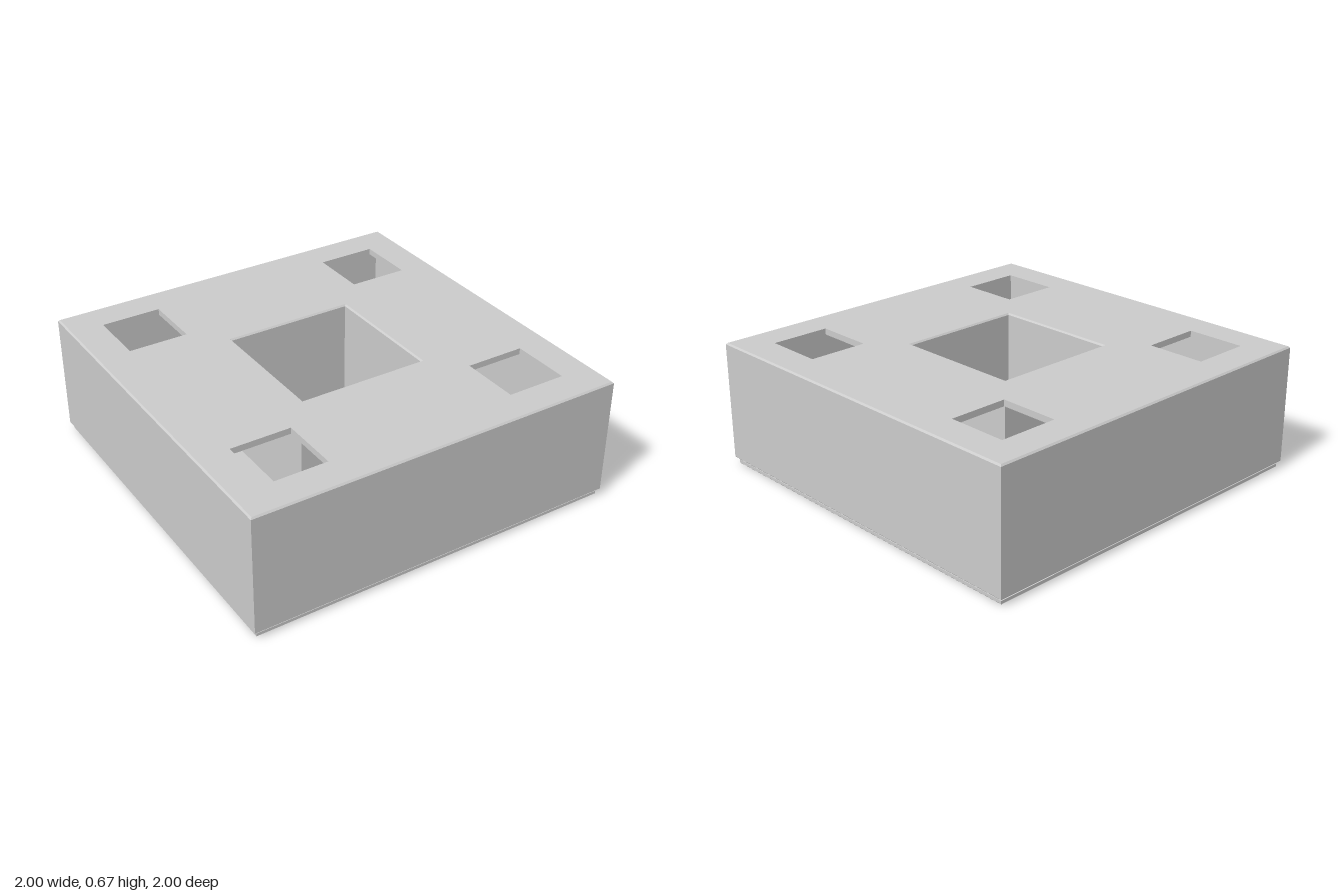
import * as THREE from 'three';

const OUTER = 1, SHAFT = 0.34, WALL = 0.03, POCKET = 0.667, POCKET_HALF = 0.158;

// Square outline centred on (cx, cy)
function square(Type, half, cx = 0, cy = 0) {
  const p = new Type();
  p.moveTo(cx - half, cy - half);
  p.lineTo(cx + half, cy - half);
  p.lineTo(cx + half, cy + half);
  p.lineTo(cx - half, cy + half);
  p.closePath();
  return p;
}

export function createModel() {
  const group = new THREE.Group();
  const material = new THREE.MeshStandardMaterial({ color: 0xcccccc, flatShading: true });

  // Square ring from y0 to y1; its rims are pulled in by the inset at each end
  function slab(name, y0, y1, { outer = OUTER, inner = SHAFT, insets = [0, 0], pockets = false }) {
    const shape = square(THREE.Shape, outer);
    shape.holes.push(square(THREE.Path, inner));
    if (pockets) {
      for (const sx of [-1, 1]) for (const sz of [-1, 1]) {
        shape.holes.push(square(THREE.Path, POCKET_HALF, sx * POCKET, sz * POCKET));
      }
    }
    const geometry = new THREE.ExtrudeGeometry(shape, { depth: y1 - y0, bevelEnabled: false });
    geometry.rotateX(-Math.PI / 2);
    geometry.translate(0, y0, 0);
    const pos = geometry.attributes.position;
    const near = (a, b) => Math.abs(a - b) < 1e-4;
    for (let i = 0; i < pos.count; i++) {
      const x = pos.getX(i), z = pos.getZ(i);
      const inset = near(pos.getY(i), y0) ? insets[0] : insets[1];
      const reach = Math.max(Math.abs(x), Math.abs(z));
      const shift = near(reach, outer) ? -inset : near(reach, inner) ? inset : 0;
      pos.setX(i, x + Math.sign(x) * shift);
      pos.setZ(i, z + Math.sign(z) * shift);
    }
    geometry.computeVertexNormals();
    const mesh = new THREE.Mesh(geometry, material);
    mesh.name = name;
    group.add(mesh);
  }

  // Stepped foot under the body
  slab('footLowerEdge', 0, 0.006, { outer: 0.985, inner: 0.355, insets: [0.006, 0] });
  slab('foot', 0.006, 0.022, { outer: 0.985, inner: 0.355 });
  slab('footGroove', 0.022, 0.032, { outer: 0.978, inner: 0.362 });

  // Hollow body: floor, outer walls and walls of the central shaft
  slab('floorEdge', 0.032, 0.04, { insets: [0.008, 0] });
  slab('floor', 0.04, 0.065, {});
  slab('outerWalls', 0.065, 0.635, { inner: OUTER - WALL });
  slab('shaftWalls', 0.065, 0.635, { outer: SHAFT + WALL });

  // Top plate with four square openings and chamfered rims
  slab('topPlate', 0.635, 0.66, { pockets: true });
  slab('topEdge', 0.66, 0.668, { pockets: true, insets: [0, 0.008] });

  return group;
}
